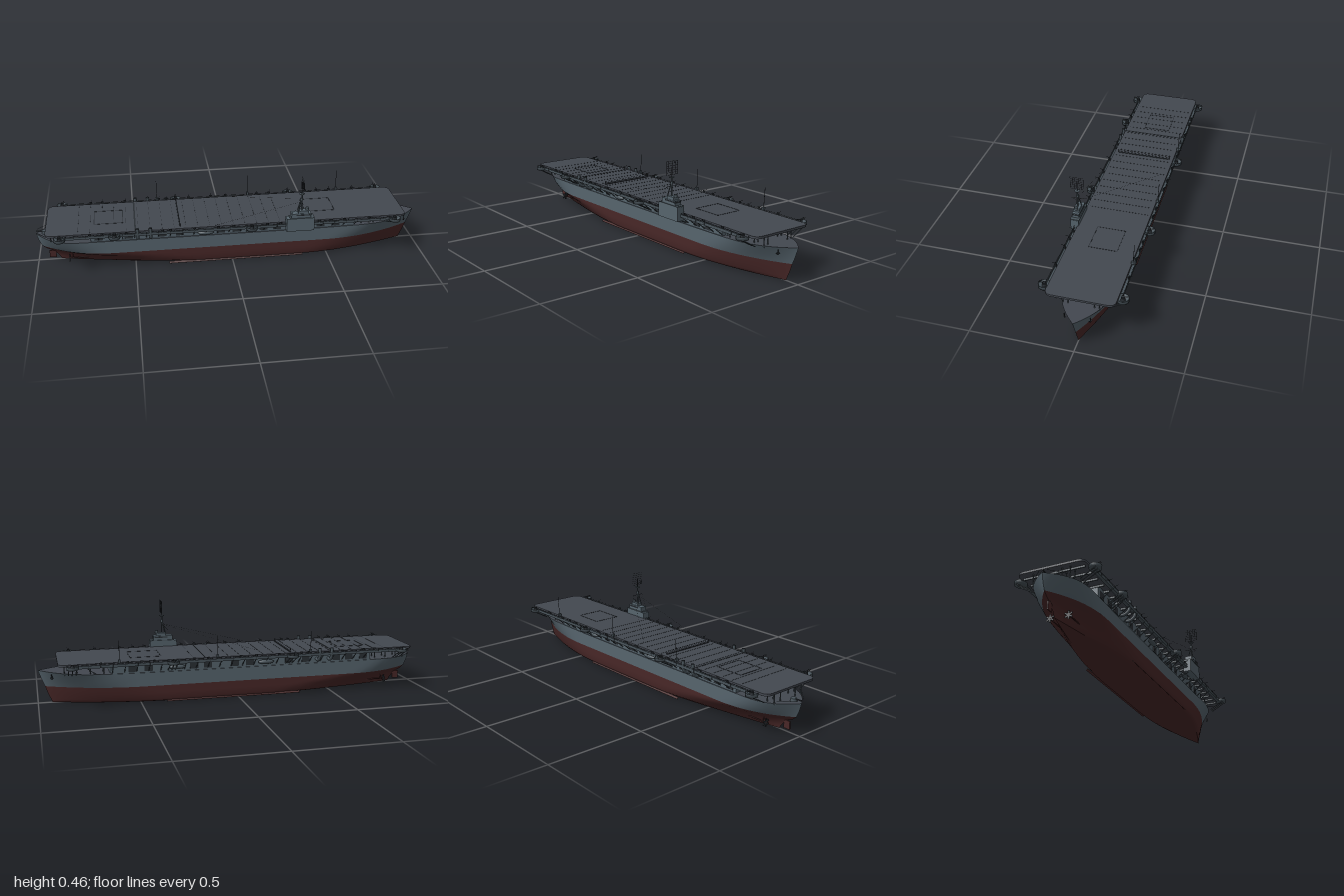
import * as THREE from 'three';

const mat = (name, color, side = THREE.FrontSide) => {
  const m = new THREE.MeshStandardMaterial({ color, side });
  m.name = name;
  return m;
};

export function createModel() {
  const root = new THREE.Group();
  root.name = 'escortCarrier';
  const grey = mat('hullGrey', 0x56646d, THREE.DoubleSide);
  const red = mat('bottomRed', 0x482727, THREE.DoubleSide);
  const deckMat = mat('deckGrey', 0x434850);
  const dark = mat('darkGrey', 0x2a2f34);
  const steel = mat('fittingGrey', 0x48535a, THREE.DoubleSide);

  const add = (name, geo, m, x = 0, y = 0, z = 0, parent = root) => {
    const mesh = new THREE.Mesh(geo, m);
    mesh.name = name;
    mesh.position.set(x, y, z);
    parent.add(mesh);
    return mesh;
  };
  const box = (name, m, x, y, z, w, h, d, parent) => add(name, new THREE.BoxGeometry(w, h, d), m, x, y, z, parent);
  const cyl = (name, m, x, y, z, r1, r2, h, parent, n = 16) =>
    add(name, new THREE.CylinderGeometry(r1, r2, h, n), m, x, y, z, parent);
  const rod = (name, m, a, b, r, parent) => {
    const p = new THREE.Vector3(...a), q = new THREE.Vector3(...b), d = q.clone().sub(p);
    const mesh = add(name, new THREE.CylinderGeometry(r, r, d.length(), 6), m, 0, 0, 0, parent);
    mesh.position.copy(p).add(q).multiplyScalar(0.5);
    mesh.quaternion.setFromUnitVectors(new THREE.Vector3(0, 1, 0), d.normalize());
    return mesh;
  };

  // Hull waterlines: y, stern x, bow x, half beam, stern taper length and power, bow taper length and power
  const lines = [
    [0.003, -0.88, 0.93, 0.108, 0.75, 1.5, 0.6, 1.9],
    [0.008, -0.885, 0.932, 0.12, 0.72, 1.5, 0.58, 1.9],
    [0.02, -0.89, 0.937, 0.127, 0.65, 1.6, 0.56, 1.9],
    [0.05, -0.915, 0.95, 0.128, 0.55, 1.8, 0.53, 2],
    [0.07, -0.955, 0.957, 0.128, 0.45, 2.1, 0.5, 2],
    [0.087, -0.975, 0.963, 0.128, 0.38, 2.4, 0.48, 2],
    [0.12, -0.99, 0.977, 0.128, 0.3, 2.7, 0.42, 2.2],
    [0.156, -1, 0.995, 0.128, 0.26, 3.2, 0.36, 2.9],
  ];
  const N = 56;
  const taper = (d, len, p) => 1 - Math.pow(1 - Math.min(1, d / len), p);
  const waterline = (row, sheer) => Array.from({ length: N + 1 }, (_, i) => {
    const [y, xs, xb, hb, sl, sp, bl, bp] = row;
    const x = xs + (xb - xs) * (0.5 - 0.5 * Math.cos(Math.PI * i / N));
    const rise = sheer ? 0.014 * Math.max(0, (x - 0.3) / 0.7) ** 2 + 0.004 * Math.max(0, (-x - 0.5) / 0.5) ** 2 : 0;
    return [x, y + rise, hb * taper(x - xs, sl, sp) * taper(xb - x, bl, bp)];
  });
  const loft = (rows) => {
    const pos = [], idx = [];
    rows.forEach(r => r.forEach(p => pos.push(...p)));
    for (let j = 0; j < rows.length - 1; j++) for (let i = 0; i < N; i++) {
      const a = j * (N + 1) + i, b = a + N + 1;
      idx.push(a, a + 1, b + 1, a, b + 1, b);
    }
    const g = new THREE.BufferGeometry();
    g.setAttribute('position', new THREE.Float32BufferAttribute(pos, 3));
    g.setIndex(idx);
    g.computeVertexNormals();
    return g;
  };
  const mirrorRow = r => r.map(([x, y, z]) => [x, y, -z]);
  const wl = lines.map((l, i) => waterline(l, i === lines.length - 1));
  const lower = wl.slice(0, 6), upper = wl.slice(5);
  add('hullBottomLeft', loft(lower), red);
  add('hullBottomRight', loft(lower.map(mirrorRow).reverse()), red);
  add('keelPlate', loft([mirrorRow(wl[0]), wl[0]]), red);
  add('hullSideLeft', loft(upper), grey);
  add('hullSideRight', loft(upper.map(mirrorRow).reverse()), grey);
  add('mainDeck', loft([wl[7], mirrorRow(wl[7])]), mat('mainDeckGrey', 0x434850, THREE.DoubleSide));

  // Rudder, shafts, propellers, bilge keels
  box('rudder', red, -0.925, 0.035, 0, 0.034, 0.04, 0.006);
  rod('rudderPost', red, [-0.925, 0.05, 0], [-0.925, 0.08, 0], 0.004);
  for (const s of [-1, 1]) {
    rod('propellerShaft', red, [-0.62, 0.03, s * 0.05], [-0.84, 0.028, s * 0.045], 0.003);
    rod('shaftStrut', red, [-0.82, 0.028, s * 0.045], [-0.82, 0.07, s * 0.025], 0.002);
    for (let k = 0; k < 3; k++) {
      const blade = box('propellerBlade', dark, -0.838, 0.028, s * 0.045, 0.003, 0.04, 0.008);
      blade.rotation.x = k * Math.PI / 3;
    }
    const bilge = box('bilgeKeel', red, 0.02, 0.007, s * 0.122, 0.7, 0.012, 0.002);
    bilge.rotation.x = -s * Math.PI / 4;
    // Anchors
    const anchor = new THREE.Group();
    anchor.name = 'anchor';
    rod('anchorShank', dark, [0, 0.012, 0], [0, -0.012, 0], 0.0025, anchor);
    rod('anchorArm', dark, [0, -0.012, 0], [0.008, -0.004, 0], 0.0025, anchor);
    rod('anchorArm', dark, [0, -0.012, 0], [-0.008, -0.004, 0], 0.0025, anchor);
    anchor.position.set(0.93, 0.146, s * 0.06);
    anchor.rotation.y = s * 0.75;
    root.add(anchor);
  }

  // Hangar
  box('hangar', grey, -0.04, 0.184, 0, 1.36, 0.062, 0.246);
  box('foredeckHouse', grey, 0.62, 0.184, 0, 0.06, 0.056, 0.2);

  // Flight deck
  const deckShape = new THREE.Shape();
  const x0 = -0.942, x1 = 0.902, hz = 0.164, r = 0.035;
  deckShape.moveTo(x0 + r, -hz).lineTo(x1 - r, -hz).quadraticCurveTo(x1, -hz, x1, -hz + r)
    .lineTo(x1, hz - r).quadraticCurveTo(x1, hz, x1 - r, hz).lineTo(x0 + r, hz)
    .quadraticCurveTo(x0, hz, x0, hz - r).lineTo(x0, -hz + r).quadraticCurveTo(x0, -hz, x0 + r, -hz);
  const deckGeo = new THREE.ExtrudeGeometry(deckShape, { depth: 0.011, bevelEnabled: false });
  deckGeo.rotateX(-Math.PI / 2);
  add('flightDeck', deckGeo, deckMat, 0, 0.214, 0);
  for (let x = -0.9; x < 0.9; x += 0.06) box('deckBeam', steel, x, 0.21, 0, 0.006, 0.01, 0.3);

  // Deck seams, arresting gear and lift outlines
  for (let x = -0.78; x < 0.3; x += 0.06) box('arrestingWire', dark, x, 0.2253, 0, 0.0012, 0.001, 0.3);
  box('expansionJoint', dark, -0.495, 0.2256, 0, 0.008, 0.0015, 0.326);
  box('barrier', dark, -0.27, 0.2262, 0, 0.006, 0.003, 0.28);
  for (const y of [0.233, 0.242]) rod('barrierCable', dark, [-0.27, y, -0.143], [-0.27, y, 0.143], 0.0007);
  for (const s of [-1, 1]) rod('barrierPost', dark, [-0.27, 0.225, s * 0.143], [-0.27, 0.243, s * 0.143], 0.0015);
  for (const [a, b] of [[-0.7, -0.555], [0.39, 0.545]]) {
    for (const x of [a, b]) box('liftSeam', dark, x, 0.2254, -0.005, 0.004, 0.0012, 0.14);
    for (const z of [-0.075, 0.065]) box('liftSeam', dark, (a + b) / 2, 0.2254, z, b - a, 0.0012, 0.003);
  }

  // Open posts and braces under the flight deck ends
  for (const s of [-1, 1]) {
    for (const x of [0.68, 0.745, 0.81, 0.87]) {
      const edge = x > 0.8 ? 0.085 : 0.11;
      for (const z of [0.062, edge]) rod('bowPost', steel, [x, 0.155, s * z], [x, 0.214, s * z], 0.0028);
    }
    rod('bowBrace', steel, [0.72, 0.16, s * 0.11], [0.79, 0.212, s * 0.11], 0.002);
    for (const x of [-0.76, -0.82, -0.88, -0.92])
      for (const z of [0.05, 0.09]) rod('sternPost', steel, [x, 0.155, s * z], [x, 0.214, s * z], 0.0028);
    rod('sternRail', steel, [-0.995, 0.172, s * 0.02], [-0.93, 0.172, s * 0.085], 0.0012);
  }
  cyl('sternGunMount', steel, -0.955, 0.166, 0, 0.014, 0.016, 0.016);
  rod('sternGunBarrel', dark, [-0.955, 0.171, 0], [-0.999, 0.173, 0], 0.003);

  // Side galleries with rails, light guns, brackets, openings and boats
  for (const s of [-1, 1]) {
    box('catwalk', steel, -0.02, 0.207, s * 0.171, 1.72, 0.004, 0.016);
    box('catwalkShield', steel, -0.02, 0.2135, s * 0.1785, 1.72, 0.012, 0.0015);
    rod('catwalkRail', dark, [-0.88, 0.224, s * 0.179], [0.84, 0.224, s * 0.179], 0.0008);
    for (let i = 0; i < 29; i++) {
      const x = -0.86 + i * 0.06;
      if (x > -0.74 && x < 0.66) rod('galleryBracket', steel, [x, 0.165, s * 0.122], [x, 0.206, s * 0.172], 0.0022);
      rod('railPost', dark, [x, 0.208, s * 0.179], [x, 0.225, s * 0.179], 0.0009);
    }
    for (const x of [-0.72, -0.66, -0.54, -0.36, -0.32, -0.2, -0.08, 0, 0.17, 0.24, 0.44, 0.5, 0.57, 0.7]) {
      cyl('lightGunMount', dark, x, 0.217, s * 0.173, 0.003, 0.004, 0.018, root, 8);
      box('lightGunShield', dark, x, 0.227, s * 0.177, 0.014, 0.009, 0.0015);
      rod('lightGunBarrel', dark, [x, 0.228, s * 0.174], [x + 0.004, 0.235, s * 0.192], 0.001);
    }
    for (const x of [-0.68, -0.6, -0.53, -0.36, -0.27, -0.06, 0.02, 0.16, 0.23, 0.46, 0.54])
      box('hangarOpening', dark, x, 0.181, s * 0.1235, 0.042, 0.034, 0.002);
    for (const x of [-0.14, 0.32]) {
      const boat = add('boat', new THREE.SphereGeometry(1, 16, 10), steel, x, 0.182, s * 0.144);
      boat.scale.set(0.042, 0.012, 0.014);
    }
    // Exhaust stacks curving up past the deck edge
    for (const x of [-0.485, -0.42]) {
      const path = new THREE.CatmullRomCurve3([[0.118, 0.178], [0.145, 0.176], [0.166, 0.19], [0.172, 0.215], [0.172, 0.242]]
        .map(([z, y]) => new THREE.Vector3(x, y, s * z)));
      add('exhaustStack', new THREE.TubeGeometry(path, 16, 0.0085, 10), steel);
      cyl('stackMouth', dark, x, 0.2415, s * 0.172, 0.0075, 0.0075, 0.002, root, 10);
    }
  }

  // Round gun tubs with twin guns
  const tubProfile = [[0, 0], [0.029, 0], [0.029, 0.016], [0.027, 0.016], [0.027, 0.003], [0, 0.003]]
    .map(p => new THREE.Vector2(...p));
  const gunTub = (x, s) => {
    const g = new THREE.Group();
    g.name = 'gunTub';
    add('tub', new THREE.LatheGeometry(tubProfile, 20), steel, 0, 0, 0, g);
    cyl('gunBase', dark, 0, 0.01, 0, 0.009, 0.011, 0.014, g);
    box('gunBreech', dark, 0, 0.02, 0, 0.012, 0.008, 0.012, g);
    for (const d of [-0.004, 0.004]) rod('gunBarrel', dark, [d, 0.021, 0], [d, 0.027, s * 0.026], 0.0013, g);
    for (const d of [-0.018, 0, 0.018]) rod('tubBracket', steel, [d, -0.042, -s * 0.062], [d, 0, s * 0.012], 0.0025, g);
    g.position.set(x, 0.205, s * 0.183);
    root.add(g);
  };
  [-0.87, -0.6, 0.09, 0.835].forEach(x => gunTub(x, 1));
  [-0.87, -0.27, 0.345, 0.835].forEach(x => gunTub(x, -1));

  // Island
  const island = new THREE.Group();
  island.name = 'island';
  root.add(island);
  box('islandBase', grey, 0.338, 0.22, 0.178, 0.142, 0.07, 0.04, island);
  box('bridge', grey, 0.34, 0.267, 0.178, 0.1, 0.03, 0.036, island);
  box('bridgeWing', steel, 0.345, 0.257, 0.178, 0.125, 0.003, 0.046, island);
  box('bridgeWindows', dark, 0.3905, 0.274, 0.178, 0.002, 0.007, 0.03, island);
  for (const s of [-1, 1]) box('bridgeSideWindows', dark, 0.35, 0.274, 0.178 + s * 0.0185, 0.07, 0.006, 0.002, island);
  box('upperBridge', grey, 0.35, 0.288, 0.179, 0.05, 0.016, 0.03, island);
  cyl('director', steel, 0.372, 0.302, 0.179, 0.008, 0.009, 0.014, island);
  for (const s of [-1, 1]) {
    rod('islandBrace', steel, [0.338 + s * 0.05, 0.165, 0.125], [0.338 + s * 0.05, 0.19, 0.185], 0.003, island);
    rod('mastLeg', steel, [0.325, 0.29, 0.179 + s * 0.013], [0.34, 0.36, 0.179], 0.0028, island);
  }
  // Mast, yard and lattice radar
  rod('mainMast', steel, [0.345, 0.29, 0.179], [0.342, 0.385, 0.179], 0.0038, island);
  rod('topMast', dark, [0.342, 0.38, 0.179], [0.342, 0.435, 0.179], 0.002, island);
  cyl('mastHousing', steel, 0.342, 0.358, 0.179, 0.0065, 0.0065, 0.012, island);
  cyl('crowNest', steel, 0.342, 0.386, 0.179, 0.014, 0.012, 0.003, island);
  rod('yard', dark, [0.342, 0.343, 0.146], [0.342, 0.343, 0.211], 0.0014, island);
  for (let i = 0; i < 7; i++) {
    const t = i / 6;
    rod('radarBar', dark, [0.346, 0.4, 0.146 + t * 0.066], [0.346, 0.466, 0.146 + t * 0.066], 0.0008, island);
    rod('radarBar', dark, [0.346, 0.4 + t * 0.066, 0.146], [0.346, 0.4 + t * 0.066, 0.212], 0.0008, island);
  }
  // Rigging and whip aerials
  rod('rigging', dark, [0.342, 0.343, 0.146], [-0.1, 0.243, -0.145], 0.0004);
  rod('rigging', dark, [0.342, 0.343, 0.21], [0.29, 0.285, 0.193], 0.0004);
  rod('rigging', dark, [0.342, 0.343, 0.179], [-0.1, 0.232, 0.17], 0.0004);
  for (const x of [-0.37, 0.12, 0.61]) {
    box('aerialBase', steel, x, 0.232, -0.169, 0.01, 0.016, 0.014);
    rod('whipAerial', dark, [x, 0.235, -0.17], [x, 0.335, -0.176], 0.0014);
  }
  return root;
}
